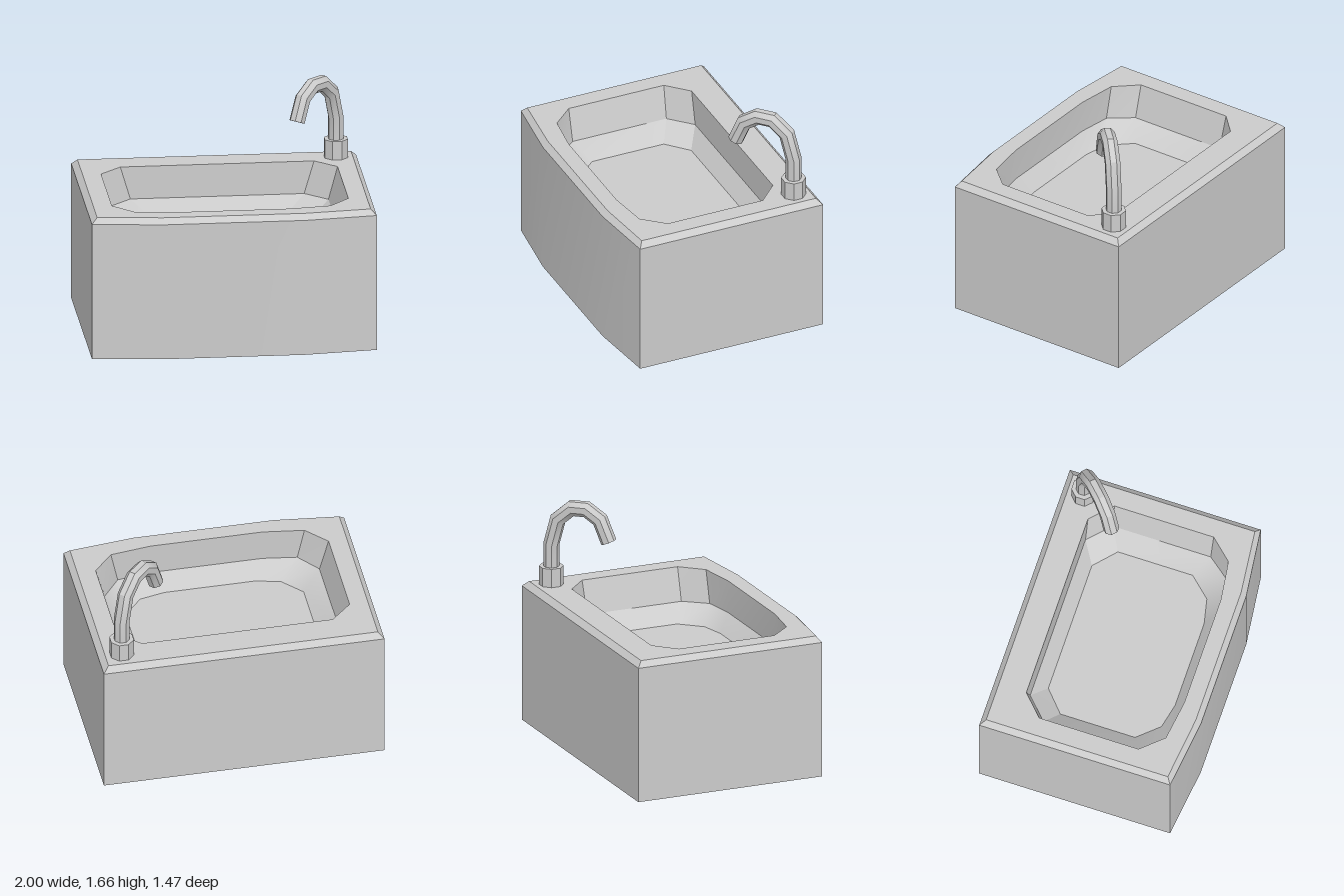
import * as THREE from 'three';
import { toCreasedNormals } from 'three/addons/utils/BufferGeometryUtils.js';

const material = new THREE.MeshStandardMaterial({ color: 0xcccccc });

function addMesh(parent, name, geometry) {
  const mesh = new THREE.Mesh(toCreasedNormals(geometry, 0.5), material);
  mesh.name = name;
  parent.add(mesh);
  return mesh;
}

// Mirrors a right-hand half outline (front to back) into a closed [x, z] loop
function mirrored(half) {
  return [...half, ...half.map(([x, z]) => [-x, z]).reverse()];
}

function ringAt(outline, y) {
  return outline.map(([x, z]) => [x, y, z]);
}

// Skins consecutive closed rings, optionally closing the first and last
function loft(rings, capStart, capEnd) {
  const n = rings[0].length;
  const index = [];
  for (let r = 0; r < rings.length - 1; r++) {
    for (let i = 0; i < n; i++) {
      const a = r * n + i, b = r * n + (i + 1) % n;
      index.push(a, b, b + n, a, b + n, a + n);
    }
  }
  const last = (rings.length - 1) * n;
  for (let i = 1; i < n - 1; i++) {
    if (capStart) index.push(0, i + 1, i);
    if (capEnd) index.push(last, last + i, last + i + 1);
  }
  const geometry = new THREE.BufferGeometry();
  geometry.setAttribute('position', new THREE.Float32BufferAttribute(rings.flat(2), 3));
  geometry.setIndex(index);
  return geometry;
}

// Octagonal pipe with mitred bends along a path in the local xy plane
function pipe(path, radius, sides) {
  const points = path.map(([x, y]) => new THREE.Vector2(x, y));
  const rings = points.map((p, i) => {
    const before = p.clone().sub(points[Math.max(i - 1, 0)]).normalize();
    const after = points[Math.min(i + 1, points.length - 1)].clone().sub(p).normalize();
    const tangent = before.clone().add(after).normalize();
    const stretch = 1 / Math.max(tangent.dot(before), tangent.dot(after));
    return Array.from({ length: sides }, (_, k) => {
      const angle = (k + 0.5) / sides * Math.PI * 2;
      const u = Math.cos(angle) * radius * stretch;
      return [p.x + tangent.y * u, p.y - tangent.x * u, -Math.sin(angle) * radius];
    });
  });
  return loft(rings, true, true);
}

export function createModel() {
  const model = new THREE.Group();
  model.name = 'sink';
  const top = 1.025;

  // Cabinet with bowed front and bevelled upper edge
  const outer = mirrored([[0.5, 0.73], [1, 0.67], [1, -0.735]]);
  const rimOuter = mirrored([[0.5, 0.692], [0.96, 0.64], [0.96, -0.697]]);
  addMesh(model, 'cabinet',
    loft([ringAt(outer, 0), ringAt(outer, 0.985), ringAt(rimOuter, top)], true, false));

  // Basin: steep upper wall, sloping lower wall, flat floor
  const mouth = mirrored([[0.4, 0.575], [0.69, 0.535], [0.83, 0.38], [0.83, -0.35], [0.68, -0.495]]);
  const ledge = mirrored([[0.4, 0.577], [0.64, 0.541], [0.765, 0.38], [0.765, -0.34], [0.61, -0.49]]);
  const floor = mirrored([[0.32, 0.48], [0.5, 0.44], [0.635, 0.29], [0.635, -0.26], [0.48, -0.4]]);
  addMesh(model, 'basin',
    loft([ringAt(mouth, top), ringAt(ledge, 0.79), ringAt(floor, 0.675)], false, true));

  // Flat rim around the basin
  const toVectors = (outline) => outline.map(([x, z]) => new THREE.Vector2(x, -z));
  const rim = new THREE.Shape(toVectors(rimOuter));
  rim.holes.push(new THREE.Path(toVectors(mouth)));
  addMesh(model, 'rim', new THREE.ShapeGeometry(rim).rotateX(-Math.PI / 2).translate(0, top, 0));

  // Tap in the back corner, turned diagonally towards the basin
  const tap = new THREE.Group();
  tap.name = 'tap';
  tap.position.set(0.842, 0, -0.58);
  tap.rotation.y = -Math.PI * 0.75;
  model.add(tap);

  const base = new THREE.CylinderGeometry(0.087, 0.087, 0.14, 8).rotateY(Math.PI / 8);
  addMesh(tap, 'tapBase', base.translate(0, 1.09, 0));
  addMesh(tap, 'spout', pipe([
    [0, 1.1], [0, 1.32], [0.05, 1.51], [0.155, 1.602],
    [0.265, 1.605], [0.365, 1.54], [0.43, 1.385],
  ], 0.056, 8));

  return model;
}
